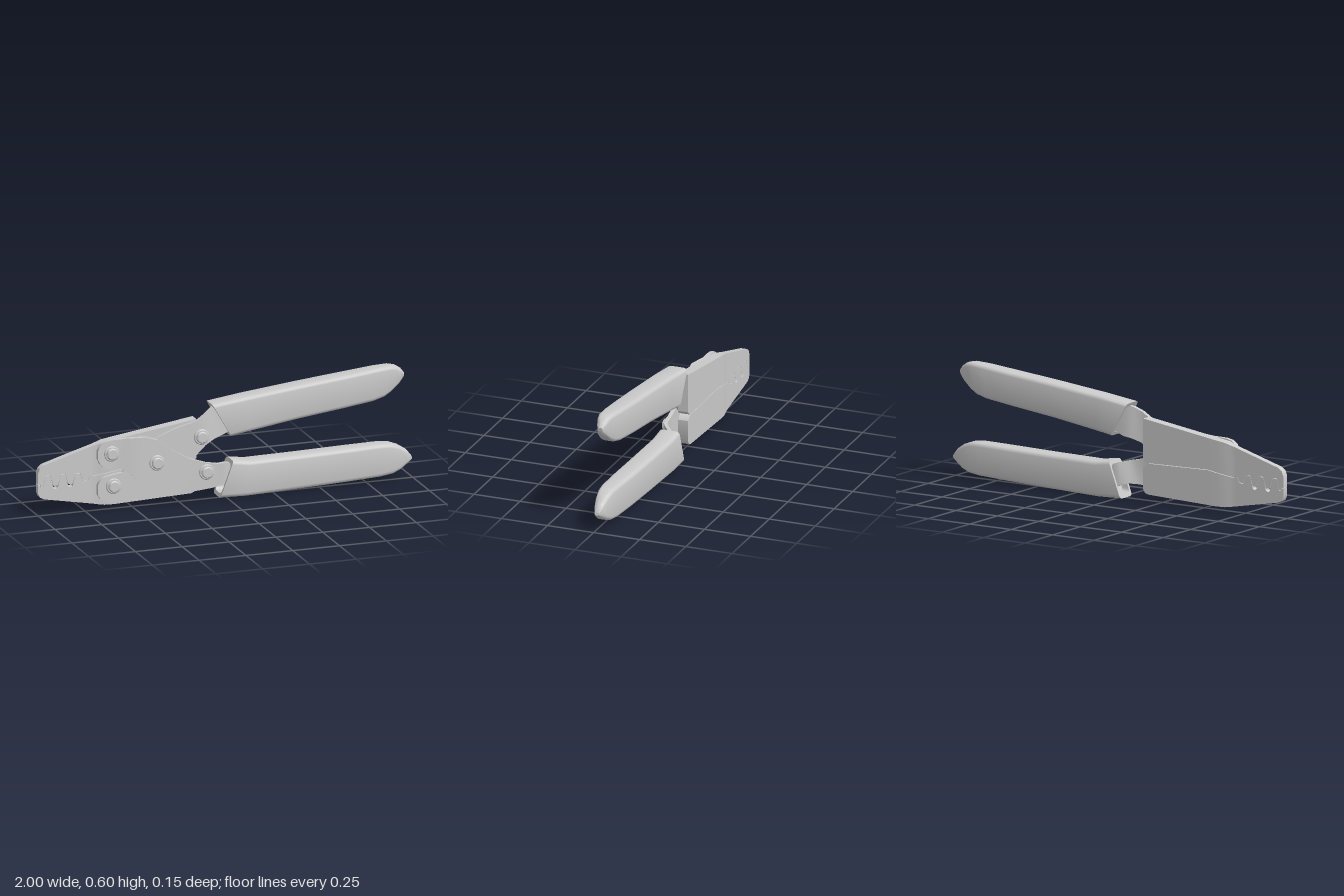
import * as THREE from 'three';
import { toCreasedNormals } from 'three/addons/utils/BufferGeometryUtils.js';

const material = new THREE.MeshStandardMaterial({ color: 0xcccccc });

// Loft through stations [topX, topY, bottomX, bottomY, zCentre, halfDepth],
// each one a rectangle with corner radius r made of seg steps.
function loft(name, stations, r = 0, seg = 0, crease = 0.6) {
  const pos = [], index = [], n = 4 * (seg + 1);
  for (const [tx, ty, bx, by, zc, hz] of stations) {
    const h = Math.hypot(tx - bx, ty - by) / 2;
    const dx = (tx - bx) / (2 * h), dy = (ty - by) / (2 * h);
    const rr = Math.min(r, hz * 0.8, h * 0.8);
    for (let k = 0; k < 4; k++) {
      const sz = k === 0 || k === 3 ? 1 : -1, sv = k < 2 ? 1 : -1;
      for (let s = 0; s <= seg; s++) {
        const a = (k + (seg ? s / seg : 0.5)) * Math.PI / 2;
        const v = sv * (h - rr) + rr * Math.sin(a);
        pos.push((tx + bx) / 2 + dx * v, (ty + by) / 2 + dy * v, zc + sz * (hz - rr) + rr * Math.cos(a));
      }
    }
  }
  const last = (stations.length - 1) * n;
  for (let i = 0; i < last; i += n) {
    for (let j = 0; j < n; j++) {
      const k = (j + 1) % n, a = i + j, b = i + k, c = i + n + k, d = i + n + j;
      index.push(a, d, b, b, d, c);
    }
  }
  for (let j = 1; j < n - 1; j++) {
    index.push(0, j, j + 1, last, last + j + 1, last + j);
  }
  const g = new THREE.BufferGeometry();
  g.setAttribute('position', new THREE.Float32BufferAttribute(pos, 3));
  g.setIndex(index);
  const mesh = new THREE.Mesh(toCreasedNormals(g, crease), material);
  mesh.name = name;
  return mesh;
}

// Piecewise linear lookup in [[x, y], ...]
function along(points, x) {
  for (let i = 1; i < points.length; i++) {
    const [x0, y0] = points[i - 1], [x1, y1] = points[i];
    if (x <= x1) return y0 + (y1 - y0) * (x - x0) / (x1 - x0);
  }
  return points[points.length - 1][1];
}

// Parting line between the jaws: crimping teeth, then an almost straight seam
function parting(x) {
  if (x < -0.985) return 0.165;
  if (x > -0.705) return along([[-0.705, 0.185], [-0.55, 0.21], [-0.16, 0.203]], x);
  const wave = THREE.MathUtils.clamp(1.7 * Math.cos((x + 0.947) / 0.08 * Math.PI * 2), -1, 1);
  return 0.18 + wave * along([[-0.985, 0.03], [-0.8, 0.027], [-0.705, 0.01]], x);
}

// Small open nests under the first two tooth tips
function nest(x) {
  let dip = 0;
  for (const c of [-0.907, -0.827]) dip = Math.max(dip, 0.014 * (1 - ((x - c) / 0.02) ** 2));
  return dip;
}

function jaw(name, upper) {
  const edge = upper
    ? [[-1, 0.225], [-0.99, 0.25], [-0.97, 0.265], [-0.68, 0.35], [-0.65, 0.359], [-0.6, 0.366], [-0.16, 0.43]]
    : [[-1, 0.12], [-0.99, 0.098], [-0.97, 0.087], [-0.68, 0.033], [-0.65, 0.029], [-0.6, 0.028], [-0.19, 0.043], [-0.17, 0.05], [-0.16, 0.065]];
  const front = [[-0.7, 0], [-0.64, 0.012]], back = [[-0.7, -0.035], [-0.64, -0.043]];
  const xs = edge.map((p) => p[0]);
  for (let i = 1; i < 60; i++) xs.push(-1 + i * 0.005 + 0.0001);
  xs.push(-0.55, -0.2, -0.185, -0.172, -0.165);
  xs.sort((a, b) => a - b);
  return loft(name, xs.map((x) => {
    const f = x < -0.7 ? 0 : along(front, x), b = x < -0.7 ? -0.035 : along(back, x);
    const round = 0.022 * Math.max(0, (x + 0.19) / 0.03) ** 2;
    const seam = parting(x);
    const inner = upper ? seam + 0.001 + round : seam - 0.002 - nest(x) - round;
    const outer = along(edge, x);
    return upper ? [x, outer, x, inner, (f + b) / 2, (f - b) / 2] : [x, inner, x, outer, (f + b) / 2, (f - b) / 2];
  }));
}

// Padded grip: rounded sleeve with a recessed mouth and a tapering tip
function grip(name, rows) {
  const z = -0.017;
  const [tx, ty, bx, by, hz] = rows[0];
  const inset = (shift) => {
    const mix = (a, b) => a + (b - a) * 0.1;
    return [mix(tx, bx) + shift, mix(ty, by), mix(bx, tx) + shift, mix(by, ty), z, hz * 0.78];
  };
  const body = rows.map(([a, b, c, d, w]) => [a, b, c, d, z, w]);
  return loft(name, [inset(0.04), inset(0), ...body], 0.02, 3, 0.7);
}

function rivet(x, y, z) {
  const profile = [[0.04, -0.02], [0.04, 0.006], [0.036, 0.009], [0.03, 0.009], [0.03, 0.018], [0.025, 0.022], [0.0001, 0.022]];
  const g = new THREE.LatheGeometry(profile.map((p) => new THREE.Vector2(...p)), 32);
  const mesh = new THREE.Mesh(toCreasedNormals(g, 0.5), material);
  mesh.name = 'rivet';
  mesh.rotation.x = Math.PI / 2;
  mesh.position.set(x, y, z);
  return mesh;
}

export function createModel() {
  const group = new THREE.Group();
  group.name = 'crimpingPliers';

  group.add(jaw('upperJaw', true), jaw('lowerJaw', false));

  // Flat steel arms: the front one steps over the rear one, both bend back into the grips
  const t = 0.0105;
  group.add(loft('frontArm', [
    [-0.692, 0.32, -0.692, 0.275, 0.022, t],
    [-0.68, 0.345, -0.68, 0.248, 0.022, t],
    [-0.655, 0.363, -0.66, 0.228, 0.022, t],
    [-0.62, 0.37, -0.62, 0.22, 0.022, t],
    [-0.54, 0.371, -0.56, 0.215, 0.022, t],
    [-0.44, 0.373, -0.53, 0.19, 0.042, t],
    [-0.38, 0.352, -0.47, 0.135, 0.042, t],
    [-0.3, 0.29, -0.41, 0.09, 0.042, t],
    [-0.21, 0.238, -0.34, 0.07, 0.042, t],
    [-0.12, 0.207, -0.18, 0.065, 0.042, t],
    [-0.06, 0.195, -0.09, 0.072, 0.04, t],
    [-0.03, 0.19, -0.045, 0.075, 0.02, t],
    [0.0, 0.183, -0.01, 0.07, -0.008, t],
    [0.03, 0.175, 0.03, 0.05, -0.017, t],
    [0.12, 0.165, 0.12, 0.04, -0.017, t],
  ]));
  group.add(loft('rearArm', [
    [-0.692, 0.14, -0.692, 0.09, 0.021, t],
    [-0.68, 0.163, -0.68, 0.07, 0.021, t],
    [-0.66, 0.177, -0.655, 0.055, 0.021, t],
    [-0.62, 0.186, -0.62, 0.053, 0.021, t],
    [-0.56, 0.195, -0.52, 0.056, 0.021, t],
    [-0.53, 0.23, -0.41, 0.066, 0.021, t],
    [-0.47, 0.29, -0.34, 0.1, 0.021, t],
    [-0.39, 0.352, -0.27, 0.16, 0.021, t],
    [-0.28, 0.395, -0.2, 0.215, 0.021, t],
    [-0.16, 0.425, -0.155, 0.257, 0.021, t],
    [-0.12, 0.452, -0.115, 0.293, 0.018, t],
    [-0.08, 0.475, -0.07, 0.312, 0.0, t],
    [-0.05, 0.485, -0.03, 0.322, -0.015, t],
    [0.03, 0.487, 0.03, 0.345, -0.017, t],
    [0.12, 0.5, 0.12, 0.36, -0.017, t],
  ]));

  group.add(grip('upperGrip', [
    [-0.08, 0.5, 0.02, 0.325, 0.055],
    [0.1, 0.524, 0.12, 0.341, 0.055],
    [0.4, 0.557, 0.37, 0.378, 0.054],
    [0.65, 0.582, 0.62, 0.408, 0.052],
    [0.8, 0.598, 0.78, 0.428, 0.047],
    [0.875, 0.603, 0.84, 0.443, 0.041],
    [0.91, 0.597, 0.88, 0.464, 0.034],
    [0.938, 0.58, 0.925, 0.498, 0.024],
    [0.956, 0.557, 0.953, 0.53, 0.012],
  ]));
  group.add(grip('lowerGrip', [
    [0.03, 0.196, -0.04, 0.008, 0.055],
    [0.12, 0.184, 0.1, 0.003, 0.055],
    [0.4, 0.188, 0.4, 0.012, 0.054],
    [0.65, 0.194, 0.65, 0.021, 0.052],
    [0.82, 0.198, 0.82, 0.028, 0.047],
    [0.88, 0.194, 0.89, 0.036, 0.041],
    [0.925, 0.178, 0.935, 0.053, 0.034],
    [0.968, 0.151, 0.972, 0.076, 0.024],
    [0.995, 0.117, 1.0, 0.098, 0.012],
  ]));

  // Rivets through arms and jaws
  for (const [x, y, z] of [
    [-0.62, 0.3, 0.032], [-0.61, 0.13, 0.032], [-0.385, 0.235, 0.052],
    [-0.14, 0.34, 0.032], [-0.12, 0.16, 0.052],
  ]) group.add(rivet(x, y, z));

  return group;
}
